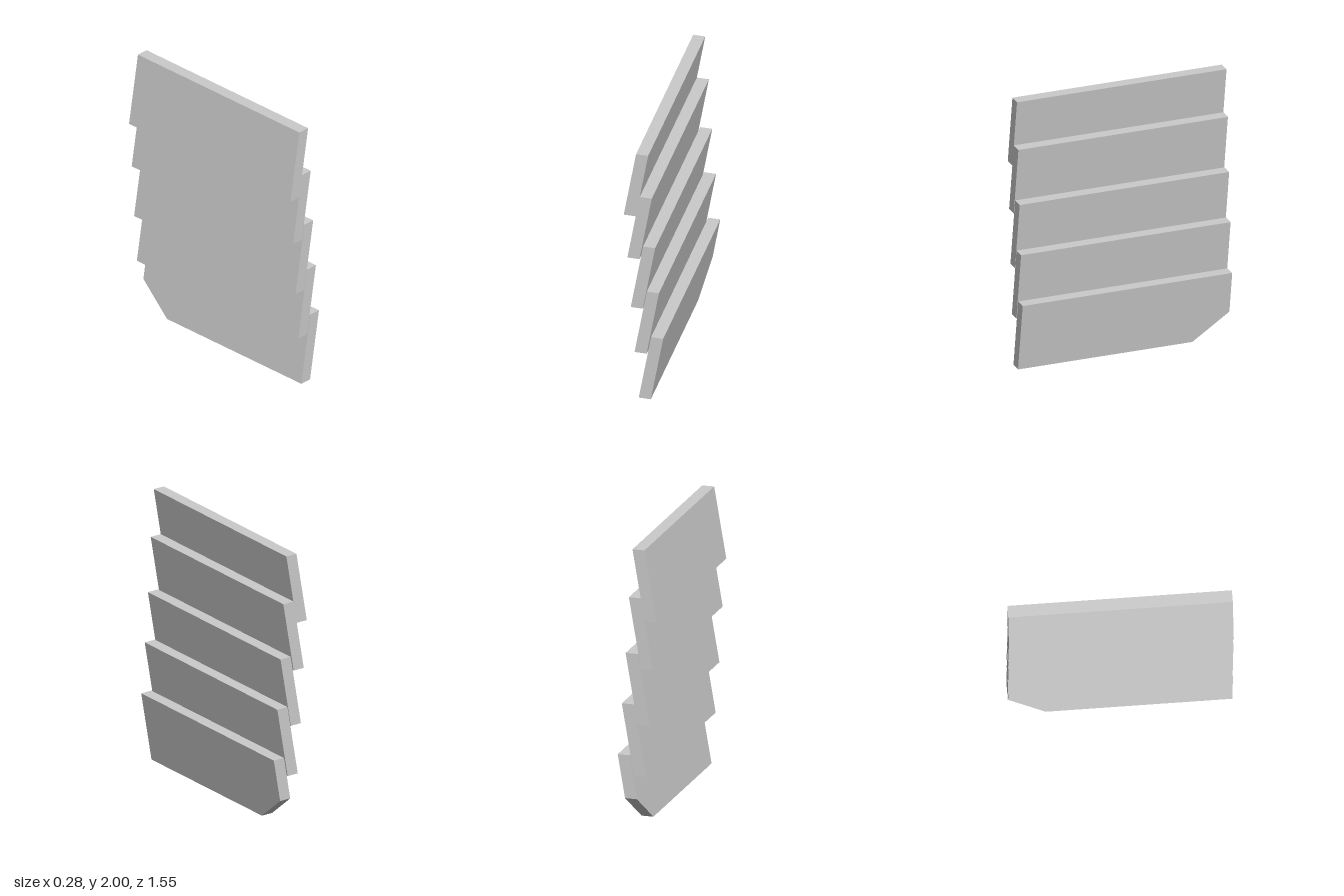
import * as THREE from 'three';

const HALF = 0.775;    // half length along z
const HEIGHT = 0.512;  // board height
const THICK = 0.086;   // board thickness along x
const RUN = 0.088;     // sideways lean from bottom to top

// One leaning board; its back bottom corner may be cut off
function board(cutCorner) {
  const shape = new THREE.Shape();
  shape.moveTo(-HALF, 0);
  if (cutCorner) {
    shape.lineTo(0.515, 0);
    shape.lineTo(HALF, 0.2);
  } else {
    shape.lineTo(HALF, 0);
  }
  shape.lineTo(HALF, HEIGHT);
  shape.lineTo(-HALF, HEIGHT);
  shape.closePath();
  const geometry = new THREE.ExtrudeGeometry(shape, { depth: THICK, bevelEnabled: false });
  geometry.rotateY(Math.PI / 2); // thickness along x, length along z
  // Shear so the faces lean while top and bottom stay level
  geometry.applyMatrix4(new THREE.Matrix4().set(
    1, RUN / HEIGHT, 0, 0,
    0, 1, 0, 0,
    0, 0, 1, 0,
    0, 0, 0, 1));
  return geometry;
}

export function createModel() {
  const group = new THREE.Group();
  group.name = 'lappedBoards';
  const material = new THREE.MeshStandardMaterial({ color: 0xcccccc, flatShading: true });

  // Top edge height and right-hand x of each overlapping board, bottom to top
  const rows = [[0.512, 0.14], [0.882, 0.11], [1.248, 0.083], [1.652, 0.059], [2, 0.033]];
  rows.forEach(([top, right], i) => {
    const mesh = new THREE.Mesh(board(i === 0), material);
    mesh.name = i === 0 ? 'bottomBoard' : `board${i + 1}`;
    mesh.position.set(right - RUN - THICK, top - HEIGHT, 0);
    group.add(mesh);
  });
  return group;
}
